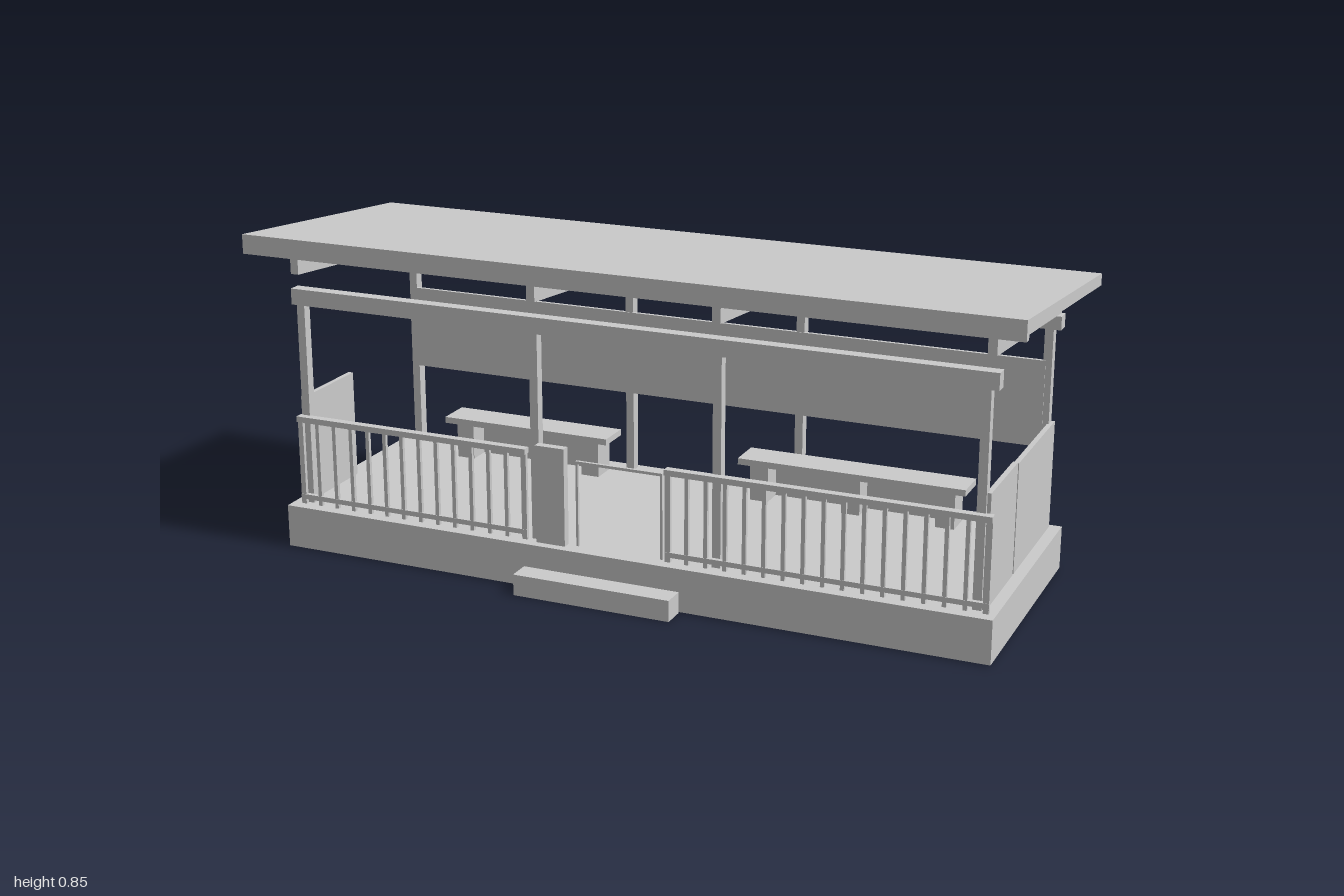
import * as THREE from 'three';

export function createModel() {
  const model = new THREE.Group();
  model.name = 'shelter';
  const grey = new THREE.MeshStandardMaterial({ color: 0xcccccc });
  grey.name = 'plain grey';

  const add = (name, geometry, parent = model) => {
    const mesh = new THREE.Mesh(geometry, grey);
    mesh.name = name;
    parent.add(mesh);
    return mesh;
  };
  // Box given by its limits on each axis
  const box = (name, x0, x1, y0, y1, z0, z1, parent) => {
    const mesh = add(name, new THREE.BoxGeometry(x1 - x0, y1 - y0, z1 - z0), parent);
    mesh.position.set((x0 + x1) / 2, (y0 + y1) / 2, (z0 + z1) / 2);
    return mesh;
  };
  // Side profile of [z, y] points, extruded along x
  const profile = (name, points, x, width) => {
    const shape = new THREE.Shape(points.map(([z, y]) => new THREE.Vector2(z, y)));
    const geometry = new THREE.ExtrudeGeometry(shape, { depth: width, bevelEnabled: false });
    geometry.translate(0, 0, -width / 2).rotateY(-Math.PI / 2);
    add(name, geometry).position.x = x;
  };
  const group = (name) => {
    const g = new THREE.Group();
    g.name = name;
    model.add(g);
    return g;
  };

  const floor = 0.115;

  // Platform and entrance step
  box('platform', -0.95, 0.94, 0.003, floor, -0.35, 0.303);
  box('step', -0.26, 0.16, 0, 0.055, 0.303, 0.363);

  // Sloping roof with a lip along the front
  profile('roof', [[0.363, 0.848], [-0.36, 0.782], [-0.36, 0.752],
    [0.343, 0.815], [0.343, 0.798], [0.363, 0.798]], 0, 2);

  // Rafters, posts and beams
  for (const x of [-0.917, -0.248, 0.238, 0.9]) {
    profile('rafter', [[0.264, 0.805], [-0.342, 0.752], [-0.342, 0.677], [0.264, 0.73]], x, 0.022);
  }
  for (const x of [-0.907, -0.246, 0.24, 0.89]) {
    box('frontPost', x - 0.011, x + 0.011, floor, 0.65, 0.235, 0.26);
    box('backPost', x - 0.011, x + 0.011, floor, 0.645, -0.336, -0.308);
  }
  box('frontBeam', -0.93, 0.92, 0.65, 0.692, 0.232, 0.265);
  box('backBeam', -0.93, 0.92, 0.642, 0.677, -0.342, -0.305);

  // Back and side panels
  box('backPanel', -0.9, 0.885, 0.335, 0.56, -0.316, -0.306);
  box('leftFrontPanel', 0.897, 0.91, floor, 0.402, 0.018, 0.252);
  box('leftBackPanel', 0.897, 0.91, floor, 0.397, -0.337, 0.01);
  box('rightFrontPanel', -0.925, -0.912, floor, 0.402, 0.018, 0.252);

  // Front railings
  const railing = (x0, x1, count) => {
    const g = group('railing');
    box('topRail', x0, x1, 0.34, 0.355, 0.257, 0.279, g);
    box('bottomRail', x0, x1, 0.128, 0.141, 0.262, 0.274, g);
    for (let i = 0; i < count; i++) {
      const x = x0 + 0.007 + (x1 - x0 - 0.014) * i / (count - 1);
      const w = i === 0 || i === count - 1 ? 0.007 : 0.005;
      box('baluster', x - w, x + w, floor, 0.345, 0.263, 0.273, g);
    }
  };
  railing(-0.925, -0.265, 14);
  railing(0.11, 0.922, 17);

  // Entrance: solid pier and slim open gate frame
  box('entrancePier', -0.236, -0.157, floor, 0.37, 0.258, 0.28);
  const gate = group('gateFrame');
  box('gateTop', -0.133, 0.1, 0.331, 0.338, 0.256, 0.264, gate);
  box('gateJamb', -0.133, -0.127, floor, 0.334, 0.256, 0.264, gate);
  box('gateJamb', 0.094, 0.1, floor, 0.334, 0.256, 0.264, gate);

  // Benches against the back: seat, closed back and open-fronted legs
  const bench = (x0, x1, legs) => {
    const g = group('bench');
    box('benchSeat', x0, x1, 0.213, 0.23, -0.3, -0.205, g);
    box('benchBack', x0 + 0.03, x1 - 0.03, floor, 0.213, -0.29, -0.278, g);
    for (let i = 0; i < legs; i++) {
      const x = x0 + 0.055 + (x1 - x0 - 0.11) * i / (legs - 1);
      box('benchLeg', x - 0.025, x + 0.025, floor, 0.213, -0.278, -0.218, g);
    }
  };
  bench(-0.76, -0.27, 2);
  bench(0.11, 0.725, 3);

  return model;
}
